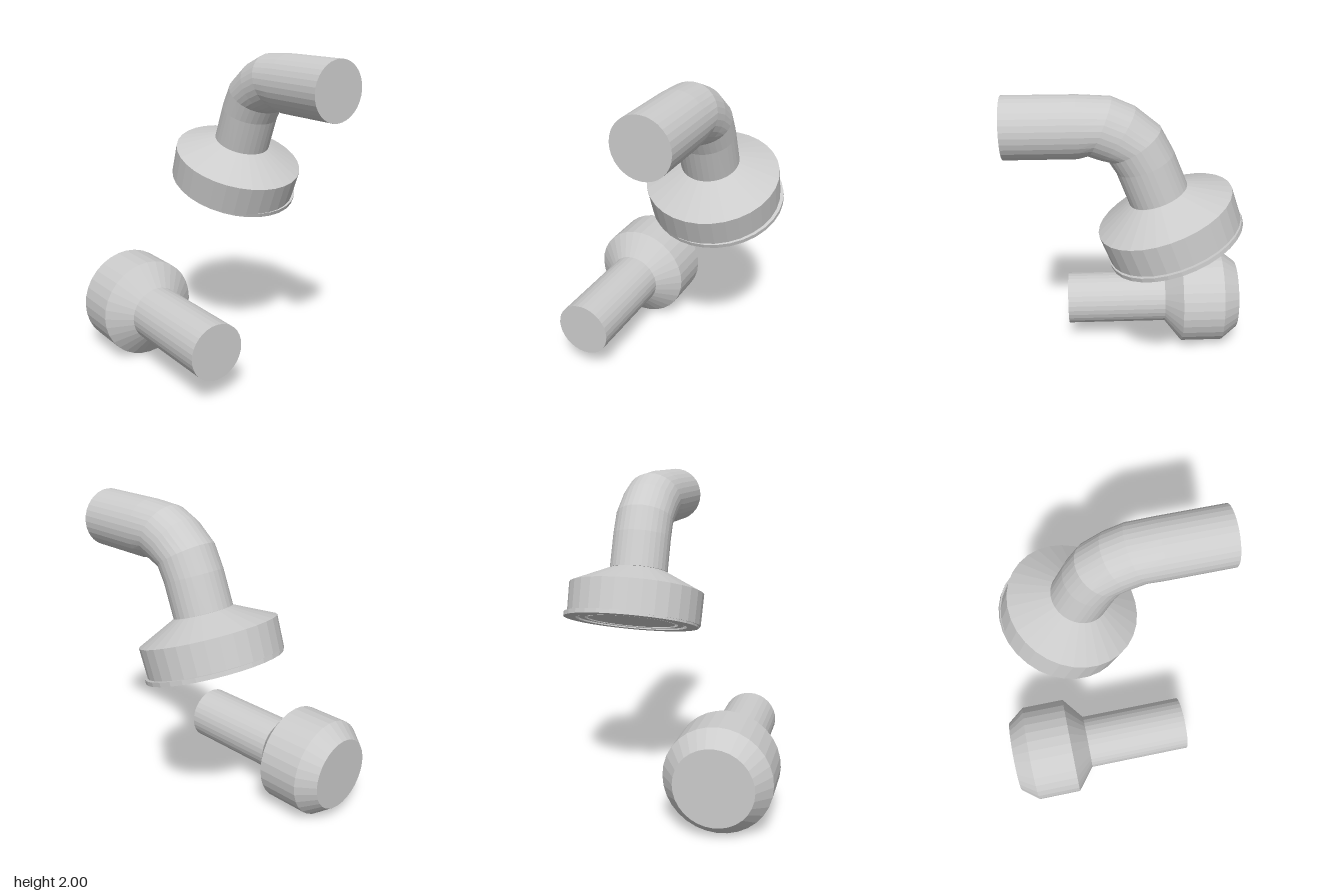
import * as THREE from 'three';

const SIDES = 32;
const ARM_R = 0.177;
const HEAD_Z = -0.25;

const material = new THREE.MeshStandardMaterial({ color: 0xcccccc, flatShading: true });

function lathe(name, profile) {
  const points = profile.map(([r, y]) => new THREE.Vector2(r, y));
  const mesh = new THREE.Mesh(new THREE.LatheGeometry(points, SIDES), material);
  mesh.name = name;
  return mesh;
}

// Pipe through rings given by their outer and inner bend points [x, y]; both ends capped.
function bentPipe(name, rings) {
  const position = [], index = [];
  const at = (i, j) => i * SIDES + (j % SIDES);
  rings.forEach(([ox, oy, ix, iy], i) => {
    const cx = (ox + ix) / 2, cy = (oy + iy) / 2;
    for (let j = 0; j < SIDES; j++) {
      const a = (j / SIDES) * Math.PI * 2, c = Math.cos(a);
      position.push(cx + (ox - cx) * c, cy + (oy - cy) * c, Math.sin(a) * ARM_R);
      if (i > 0) {
        index.push(at(i - 1, j), at(i, j), at(i, j + 1));
        index.push(at(i - 1, j), at(i, j + 1), at(i - 1, j + 1));
      }
    }
  });
  const last = rings.length - 1;
  for (let j = 1; j < SIDES - 1; j++) {
    index.push(at(0, 0), at(0, j), at(0, j + 1));
    index.push(at(last, 0), at(last, j + 1), at(last, j));
  }
  // Faces wind outward for a path running from the free end to the head
  const geometry = new THREE.BufferGeometry();
  geometry.setAttribute('position', new THREE.Float32BufferAttribute(position, 3));
  geometry.setIndex(index);
  geometry.computeVertexNormals();
  const mesh = new THREE.Mesh(geometry, material);
  mesh.name = name;
  return mesh;
}

export function createModel() {
  const model = new THREE.Group();

  // Shower: bent arm leading down to a tilted head
  const shower = new THREE.Group();
  shower.name = 'shower';
  shower.position.z = HEAD_Z;
  shower.add(bentPipe('showerArm', [
    [0.73, 2.0, 0.73, 1.648],
    [0.32, 2.0, 0.32, 1.648],
    [0.13, 1.988, 0.27, 1.664],
    [0.0, 1.93, 0.205, 1.64],
    [-0.14, 1.815, 0.155, 1.63],
    [-0.215, 1.675, 0.11, 1.555],
    [-0.295, 1.475, 0.035, 1.355],
  ]));

  const head = new THREE.Group();
  head.name = 'showerHead';
  head.position.set(-0.235, 1.125, 0);
  head.rotation.z = -THREE.MathUtils.degToRad(20);
  head.add(lathe('headShell', [
    [0, 0.03], [0.405, 0.0], [0.41, 0.195], [ARM_R, 0.307], [0, 0.307],
  ]));
  // Spray plate sits slightly off centre and has concentric grooves
  const plate = lathe('sprayPlate', [
    [0, -0.004], [0.265, -0.004], [0.265, 0.012], [0.285, 0.012], [0.285, -0.006],
    [0.32, -0.006], [0.32, 0.012], [0.34, 0.012], [0.34, -0.012],
    [0.41, -0.012], [0.41, 0.014], [0, 0.02],
  ]);
  plate.position.z = -0.016;
  head.add(plate);
  shower.add(head);
  model.add(shower);

  // Tap handle: chamfered knob on a straight stem, lying along x
  const handle = new THREE.Group();
  handle.name = 'tapHandle';
  handle.position.set(0, 0.323, 0.358);
  handle.rotation.z = -Math.PI / 2;
  handle.add(lathe('knob', [
    [0, -0.735], [0.235, -0.735], [0.321, -0.625], [0.321, -0.345], [ARM_R, -0.23], [0, -0.23],
  ]));
  handle.add(lathe('knobStem', [[0, -0.23], [ARM_R, -0.23], [ARM_R, 0.442], [0, 0.442]]));
  model.add(handle);

  return model;
}
